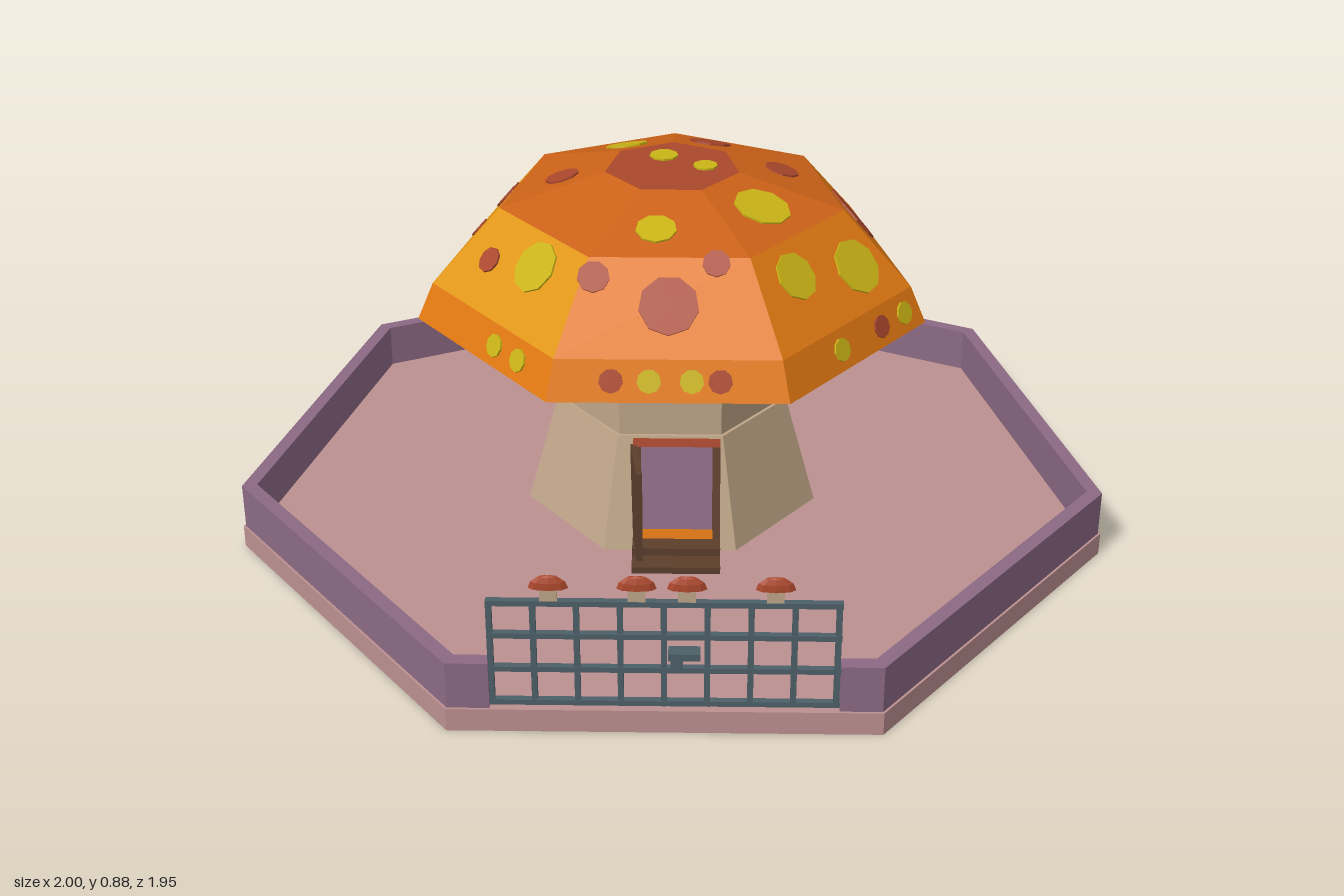
import * as THREE from 'three';

const mat = (name, color, side = THREE.FrontSide) =>
  Object.assign(new THREE.MeshStandardMaterial({ color, side, flatShading: true }), { name });
const M = {
  pink: mat('dusty pink stone', 0xbc9090),
  purple: mat('purple wall', 0x8c6a84),
  beige: mat('beige stem', 0xbfa688),
  orange: mat('orange', 0xe37a12),
  amber: mat('amber', 0xe09614),
  deep: mat('deep orange', 0xcc6218),
  red: mat('brick red', 0xaa472c),
  yellow: mat('mustard yellow', 0xcab416),
  brown: mat('dark brown', 0x5c3f2c),
  slate: mat('slate metal', 0x4c6068),
};
const STEP = Math.PI * 2 / 7, HALF = Math.PI / 7, APO = Math.cos(HALF);

function add(parent, name, geo, material, x = 0, y = 0, z = 0) {
  const m = new THREE.Mesh(geo, material);
  m.name = name;
  m.position.set(x, y, z);
  parent.add(m);
  return m;
}
const box = (p, name, material, w, h, d, x, y, z) =>
  add(p, name, new THREE.BoxGeometry(w, h, d), material, x, y, z);
const hept = (p, name, material, rTop, rBot, y0, y1) =>
  add(p, name, new THREE.CylinderGeometry(rTop, rBot, y1 - y0, 7, 1, false, HALF), material, 0, (y0 + y1) / 2, 0);
const corner = (r, y, a) => new THREE.Vector3(r * Math.sin(a), y, r * Math.cos(a));

// Flat four-cornered panel, corners counter-clockwise from outside
function quad(p, name, material, a, b, c, d) {
  const g = new THREE.BufferGeometry().setFromPoints([a, b, c, a, c, d]);
  g.computeVertexNormals();
  return add(p, name, g, material);
}

// Heptagonal garden floor and the low wall, open at the front for the gate
function buildGarden(root) {
  hept(root, 'floorSlab', M.pink, 1.0256, 1.0256, 0, 0.053);
  const gap = 0.355, ro = 1.02, ri = 0.985, pts = [[gap, ro * APO]];
  for (let k = 0; k < 7; k++) {
    const a = HALF + k * STEP;
    pts.push([ro * Math.sin(a), ro * Math.cos(a)]);
  }
  pts.push([-gap, ro * APO], [-gap, ri * APO]);
  for (let k = 6; k >= 0; k--) {
    const a = HALF + k * STEP;
    pts.push([ri * Math.sin(a), ri * Math.cos(a)]);
  }
  pts.push([gap, ri * APO]);
  const shape = new THREE.Shape(pts.map(([x, y]) => new THREE.Vector2(x, y)));
  const geo = new THREE.ExtrudeGeometry(shape, { depth: 0.11, bevelEnabled: false });
  geo.rotateX(Math.PI / 2);
  add(root, 'gardenWall', geo, M.purple, 0, 0.161, 0);
}

// Flared stem with doorway, open door and steps
function buildStem(root) {
  hept(root, 'stemFoot', M.beige, 0.275, 0.35, 0.05, 0.315);
  hept(root, 'stemTop', M.beige, 0.267, 0.267, 0.315, 0.552);

  const door = new THREE.Group();
  door.name = 'doorway';
  door.position.set(0.015, 0.055, 0.318);
  door.rotation.x = -Math.atan((0.35 - 0.275) * APO / 0.265);
  root.add(door);
  box(door, 'doorOpening', M.purple, 0.17, 0.25, 0.008, 0, 0.13, 0);
  for (const s of [-1, 1]) box(door, 'doorPost', M.brown, 0.018, 0.26, 0.02, s * 0.09, 0.13, 0);
  box(door, 'doorLintel', M.red, 0.198, 0.016, 0.024, 0, 0.255, 0);
  box(door, 'doorSill', M.orange, 0.165, 0.022, 0.02, 0, 0.04, 0.002);

  const leaf = box(root, 'openDoor', M.brown, 0.014, 0.225, 0.14, -0.075, 0.188, 0.33);
  leaf.rotation.y = 0.12;
  box(root, 'upperStep', M.brown, 0.2, 0.035, 0.06, 0.015, 0.07, 0.335);
  box(root, 'lowerStep', M.brown, 0.2, 0.018, 0.11, 0.015, 0.06, 0.36);
}

// Faceted cap: rim, main and upper bands, flat crown
const RING = [[0.59, 0.55], [0.553, 0.635], [0.395, 0.805], [0.155, 0.872]];

function buildCap(root) {
  const cap = new THREE.Group();
  cap.name = 'cap';
  root.add(cap);
  for (let k = 0; k < 7; k++) {
    const a0 = k * STEP - HALF, a1 = a0 + STEP;
    const main = k >= 4 ? M.amber : M.orange;
    const rim = k === 3 || k === 4 ? M.red : M.orange;
    [rim, main, M.deep].forEach((m, i) => {
      const [r0, y0] = RING[i], [r1, y1] = RING[i + 1];
      const a = corner(r0, y0, a0), b = corner(r0, y0, a1), c = corner(r1, y1, a1), d = corner(r1, y1, a0);
      if (k === 2 && i === 0) {
        // the red rim ends part-way along this side
        const ab = a.clone().lerp(b, 0.59), dc = d.clone().lerp(c, 0.59);
        quad(cap, 'rimPanel', M.orange, a, ab, dc, d);
        quad(cap, 'rimPanel', M.red, ab, b, c, dc);
      } else quad(cap, ['rimPanel', 'capPanel', 'upperPanel'][i], m, a, b, c, d);
    });
  }
  const disc = (r) => new THREE.CircleGeometry(r, 7, -Math.PI / 2);
  add(cap, 'capUnderside', disc(0.59).rotateX(Math.PI / 2), M.orange, 0, 0.55, 0);
  add(cap, 'crown', disc(0.155).rotateX(-Math.PI / 2).rotateY(Math.PI), M.red, 0, 0.872, 0);

  // Lay a thin spot on whichever facet lies at (x, z)
  function spot(x, z, r, material) {
    let best = 0, d = -1;
    for (let k = 0; k < 7; k++) {
      const v = x * Math.sin(k * STEP) + z * Math.cos(k * STEP);
      if (v > d) { d = v; best = k * STEP; }
    }
    const n = new THREE.Vector3(0, 1, 0);
    let y = RING[3][1];
    for (let i = 0; i < 3; i++) {
      const [r0, y0] = RING[i], [r1, y1] = RING[i + 1], R = d / APO;
      if (R <= r0 && R > r1) {
        y = y0 + (y1 - y0) * (r0 - R) / (r0 - r1);
        const out = y1 - y0;
        n.set(out * Math.sin(best), (r0 - r1) * APO, out * Math.cos(best)).normalize();
      }
    }
    const m = add(cap, 'spot', new THREE.CylinderGeometry(r, r, 0.009, 9), material, x, y, z);
    m.quaternion.setFromUnitVectors(new THREE.Vector3(0, 1, 0), n);
  }
  // x, z, radius
  const yellow = [[0.17, -0.34, 0.08], [-0.11, -0.37, 0.05], [-0.27, -0.29, 0.045], [-0.19, -0.3, 0.03],
    [-0.11, -0.165, 0.05], [-0.02, -0.02, 0.033], [0.075, 0.043, 0.028], [0.2, 0.2, 0.065],
    [-0.03, 0.315, 0.045], [-0.29, 0.33, 0.06], [0.41, 0.23, 0.065], [0.27, 0.36, 0.055], [0.33, -0.36, 0.04]];
  const red = [[0.085, -0.2, 0.05], [0.25, -0.03, 0.04], [0.415, -0.04, 0.075], [0, 0.47, 0.065],
    [-0.16, 0.43, 0.035], [0.1, 0.41, 0.03], [-0.25, 0.03, 0.04], [-0.385, -0.085, 0.038],
    [-0.45, -0.03, 0.025], [-0.4, -0.18, 0.03], [-0.4, 0.23, 0.03]];
  yellow.forEach(([x, z, r]) => spot(x, z - 0.046, r, M.yellow));
  red.forEach(([x, z, r]) => spot(x, z - 0.046, r, M.red));
  // Small spots on the rim: side, shift along it, colour
  [[0, -0.12, M.red], [0, -0.04, M.yellow], [0, 0.05, M.yellow], [0, 0.11, M.red], [6, 0.04, M.yellow],
    [6, 0.13, M.yellow], [1, -0.05, M.yellow], [1, 0.1, M.red], [1, 0.19, M.yellow], [2, 0, M.yellow],
    [2, -0.09, M.red], [3, 0, M.yellow], [4, 0.1, M.yellow], [5, -0.1, M.yellow], [5, 0.08, M.red]]
    .forEach(([k, s, m]) => {
      const c = Math.cos(k * STEP), n = Math.sin(k * STEP), d = 0.515;
      spot(n * d + c * s, c * d - n * s, 0.026, m);
    });
}

// Lattice gate topped with little mushrooms
function buildGate(root) {
  const gate = new THREE.Group();
  gate.name = 'gate';
  gate.position.z = 0.904;
  root.add(gate);
  for (let i = 0; i < 9; i++)
    box(gate, 'gateUpright', M.slate, 0.012, 0.25, 0.012, -0.35 + i * 0.0872, 0.18, 0);
  for (const y of [0.062, 0.143, 0.223, 0.3]) box(gate, 'gateRail', M.slate, 0.71, 0.012, 0.014, 0, y, 0);
  box(gate, 'gateLatch', M.slate, 0.065, 0.016, 0.03, 0.04, 0.18, 0);
  box(gate, 'gateLock', M.slate, 0.025, 0.035, 0.03, 0.025, 0.165, 0);
  for (const x of [-0.23, -0.055, 0.045, 0.22]) {
    box(gate, 'finialStem', M.beige, 0.035, 0.035, 0.012, x, 0.32, 0);
    const dome = add(gate, 'finialCap',
      new THREE.SphereGeometry(0.04, 8, 3, 0, Math.PI * 2, 0, Math.PI / 2), M.red, x, 0.334, 0);
    dome.scale.set(1, 0.75, 0.3);
    const base = add(gate, 'finialCapBase', new THREE.CircleGeometry(0.04, 8).rotateX(Math.PI / 2), M.red, x, 0.334, 0);
    base.scale.z = 0.3;
  }
}

export function createModel() {
  const model = new THREE.Group();
  model.name = 'mushroomHouse';
  const yard = new THREE.Group();
  yard.name = 'yard';
  yard.position.z = 0.046;
  model.add(yard);
  buildGarden(yard);
  buildStem(yard);
  buildCap(yard);
  buildGate(yard);
  return model;
}
